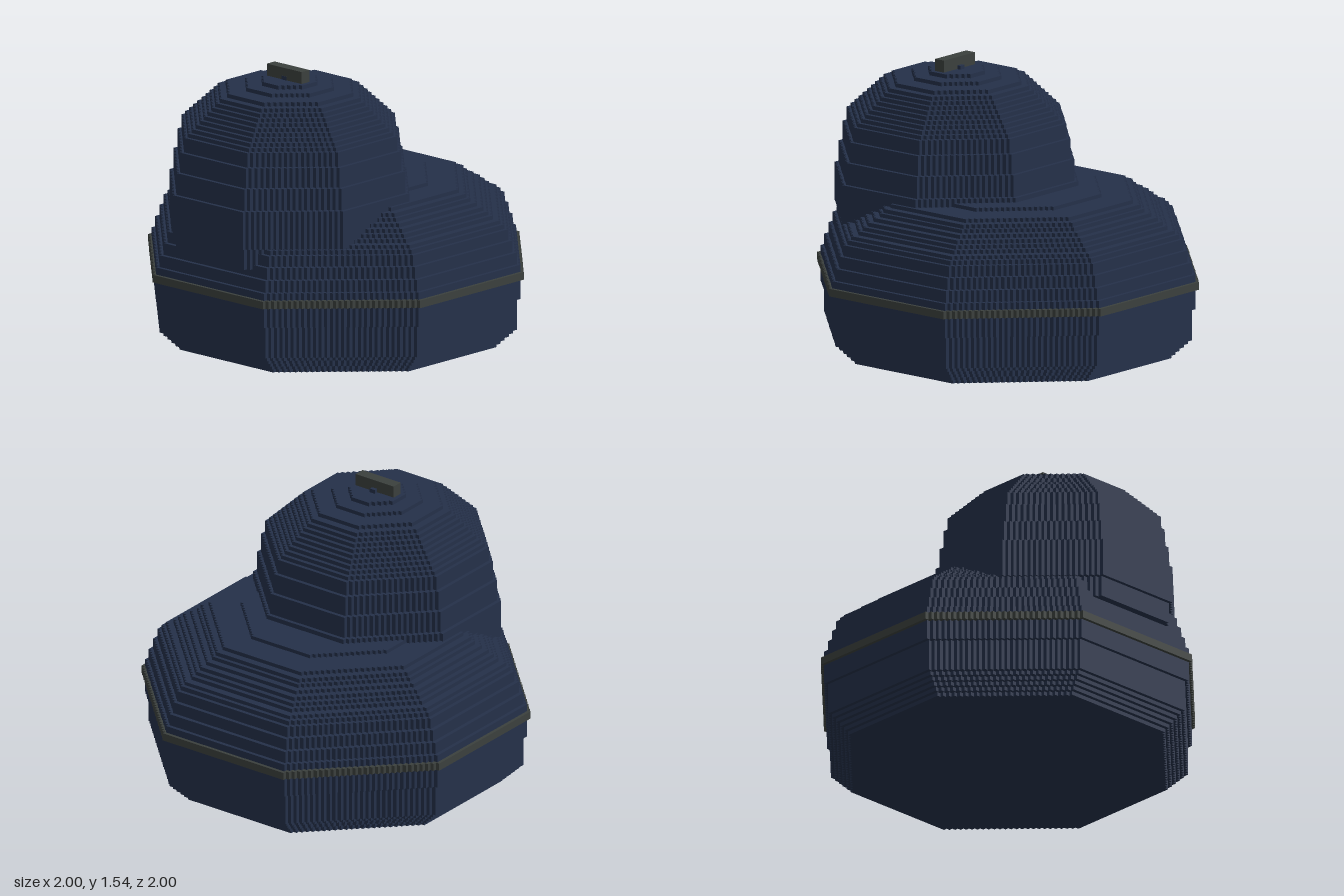
import * as THREE from 'three';

const STEP = 0.0215; // size of one stair step

const navy = new THREE.MeshStandardMaterial({ color: 0x243049 });
navy.name = 'navy';
const olive = new THREE.MeshStandardMaterial({ color: 0x3b403d });
olive.name = 'olive grey';

// Octagon outline whose diagonal sides are small square stairs
function steppedOctagon(r) {
  const h = 0.405 * r;
  const n = Math.max(1, Math.round((r - h) / STEP));
  const s = (r - h) / n;
  const corner = [[r, h]];
  for (let i = 1; i <= n; i++) {
    corner.push([r - i * s, h + (i - 1) * s], [r - i * s, h + i * s]);
  }
  const points = [];
  for (let q = 0; q < 4; q++) {
    const c = [1, 0, -1, 0][q], d = [0, 1, 0, -1][q];
    for (const [x, y] of corner) points.push(new THREE.Vector2(x * c - y * d, x * d + y * c));
  }
  return new THREE.Shape(points);
}

// One flat slab between two heights
function slab(r, y0, y1, material, name) {
  const geo = new THREE.ExtrudeGeometry(steppedOctagon(r), { depth: y1 - y0, bevelEnabled: false });
  geo.rotateX(-Math.PI / 2).translate(0, y0, 0);
  const mesh = new THREE.Mesh(geo, material);
  mesh.name = name;
  return mesh;
}

// Stack of slabs from [top height, radius] pairs
function stack(name, base, layers) {
  const group = new THREE.Group();
  group.name = name;
  let y = base;
  for (const [top, r] of layers) {
    group.add(slab(r, y, top, navy, name + 'Layer'));
    y = top;
  }
  return group;
}

// Layers that shrink or grow evenly between two radii
function slope(y0, y1, r0, r1, n) {
  return Array.from({ length: n }, (_, i) => [
    y0 + ((y1 - y0) * (i + 1)) / n,
    r0 + ((r1 - r0) * i) / Math.max(1, n - 1),
  ]);
}

export function createModel() {
  const model = new THREE.Group();

  // Wide lower body with a chamfered foot and domed shoulder
  model.add(stack('body', 0, [
    ...slope(0, 0.107, 0.855, 0.941, 5),
    [0.28, 0.962], [0.47, 0.982], [0.535, 0.962], [0.6, 0.94], [0.66, 0.918],
    [0.685, 0.897], [0.705, 0.875], [0.727, 0.835], [0.748, 0.811], [0.77, 0.785],
    [0.791, 0.75], [0.812, 0.715], [0.834, 0.695], [0.855, 0.655], [0.875, 0.49],
  ]));

  // Thin belt round the body
  model.add(slab(1, 0.389, 0.431, olive, 'belt'));

  // Domed tower set towards the front
  const tower = stack('tower', 0.575, [
    [0.69, 0.618], [0.9, 0.638], [1.02, 0.617], [1.13, 0.596], [1.21, 0.575],
    ...slope(1.21, 1.382, 0.555, 0.405, 8),
    [1.404, 0.382], [1.426, 0.34], [1.447, 0.236], [1.469, 0.15], [1.49, 0.042],
  ]);
  tower.position.z = 0.363;
  model.add(tower);

  // Small bar on top of the tower
  const bar = new THREE.Mesh(new THREE.BoxGeometry(0.256, 0.066, 0.062), olive);
  bar.name = 'topBar';
  bar.position.set(0, 1.503, 0.373);
  model.add(bar);

  return model;
}
